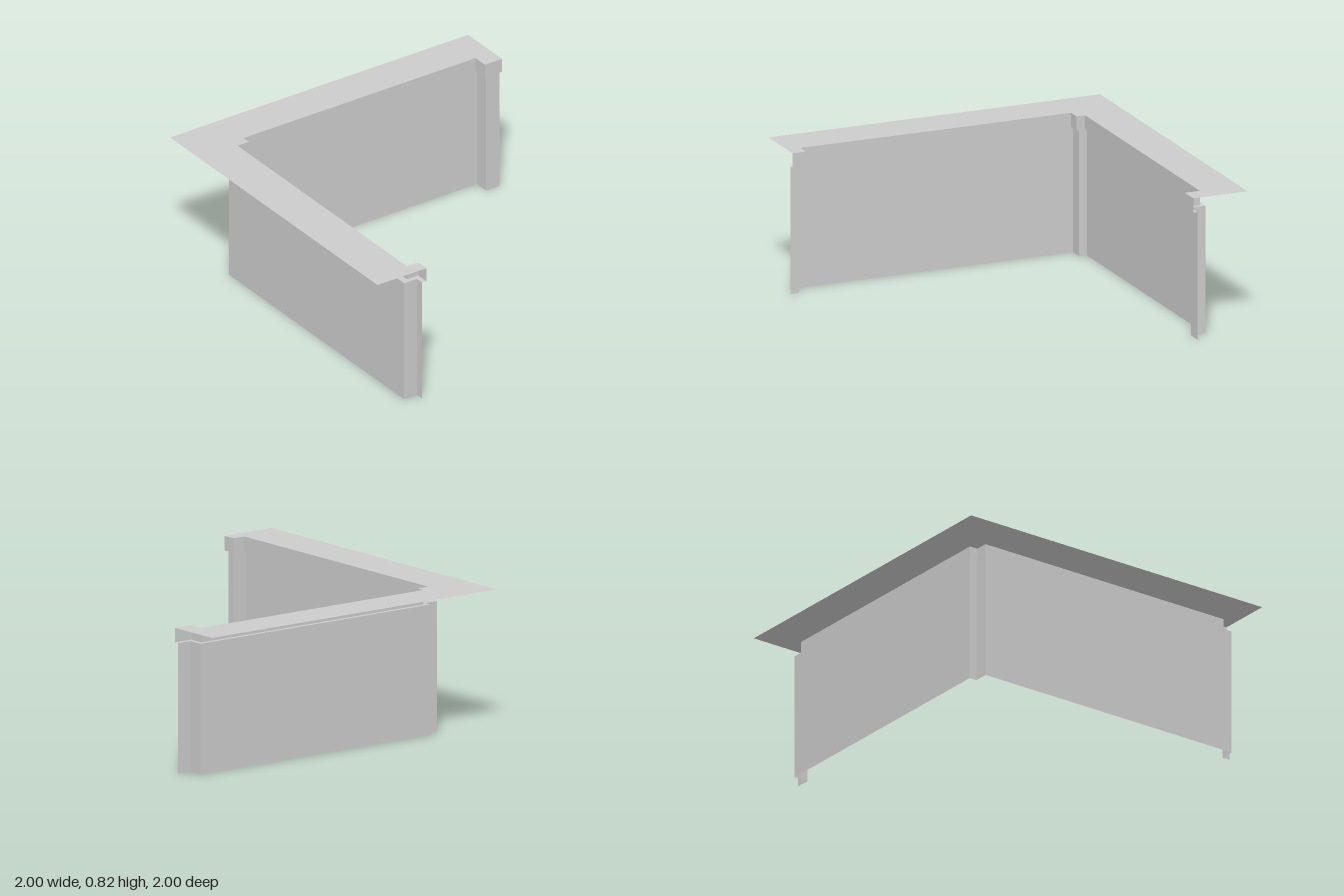
import * as THREE from 'three';

const TOP = 0.817, STEP = 0.735;

// Inner outline of the top plate and fascia, as [x, z]
const fasciaLine = [
  [-0.672, 1], [-0.672, 0.922], [-0.747, 0.922], [-0.747, -0.712], [-0.672, -0.712],
  [-0.672, -0.763], [0.885, -0.763], [0.885, -0.673], [1, -0.673],
];
// The wall below is set back a little from the fascia
const wallLine = [
  [-0.7, 1], [-0.7, 0.95], [-0.786, 0.95], [-0.786, -0.74], [-0.7, -0.74],
  [-0.7, -0.786], [0.911, -0.786], [0.911, -0.698], [1, -0.698],
];

const material = new THREE.MeshStandardMaterial({ color: 0xcccccc, side: THREE.DoubleSide });

function addMesh(group, name, geometry) {
  const mesh = new THREE.Mesh(geometry, material);
  mesh.name = name;
  group.add(mesh);
}

// Hard-edged strip of quads between two outlines at two heights
function strip(lower, y0, upper, y1) {
  const positions = [];
  for (let i = 0; i < lower.length - 1; i++) {
    const a = [lower[i][0], y0, lower[i][1]];
    const b = [lower[i + 1][0], y0, lower[i + 1][1]];
    const c = [upper[i + 1][0], y1, upper[i + 1][1]];
    const d = [upper[i][0], y1, upper[i][1]];
    positions.push(...a, ...b, ...c, ...a, ...c, ...d);
  }
  const geometry = new THREE.BufferGeometry();
  geometry.setAttribute('position', new THREE.Float32BufferAttribute(positions, 3));
  geometry.computeVertexNormals();
  return geometry;
}

export function createModel() {
  const group = new THREE.Group();
  group.name = 'cornerWall';

  // Flat L-shaped top plate
  const outline = [...fasciaLine, [1, -1], [-1, -1], [-1, 1]];
  const plate = new THREE.ShapeGeometry(
    new THREE.Shape(outline.map(([x, z]) => new THREE.Vector2(x, -z))));
  plate.rotateX(-Math.PI / 2).translate(0, TOP, 0);
  addMesh(group, 'topPlate', plate);

  // Fascia band, its narrow underside, and the recessed wall
  addMesh(group, 'fascia', strip(fasciaLine, STEP, fasciaLine, TOP));
  addMesh(group, 'soffit', strip(wallLine, STEP, fasciaLine, STEP));
  addMesh(group, 'wall', strip(wallLine, 0, wallLine, STEP));

  return group;
}
